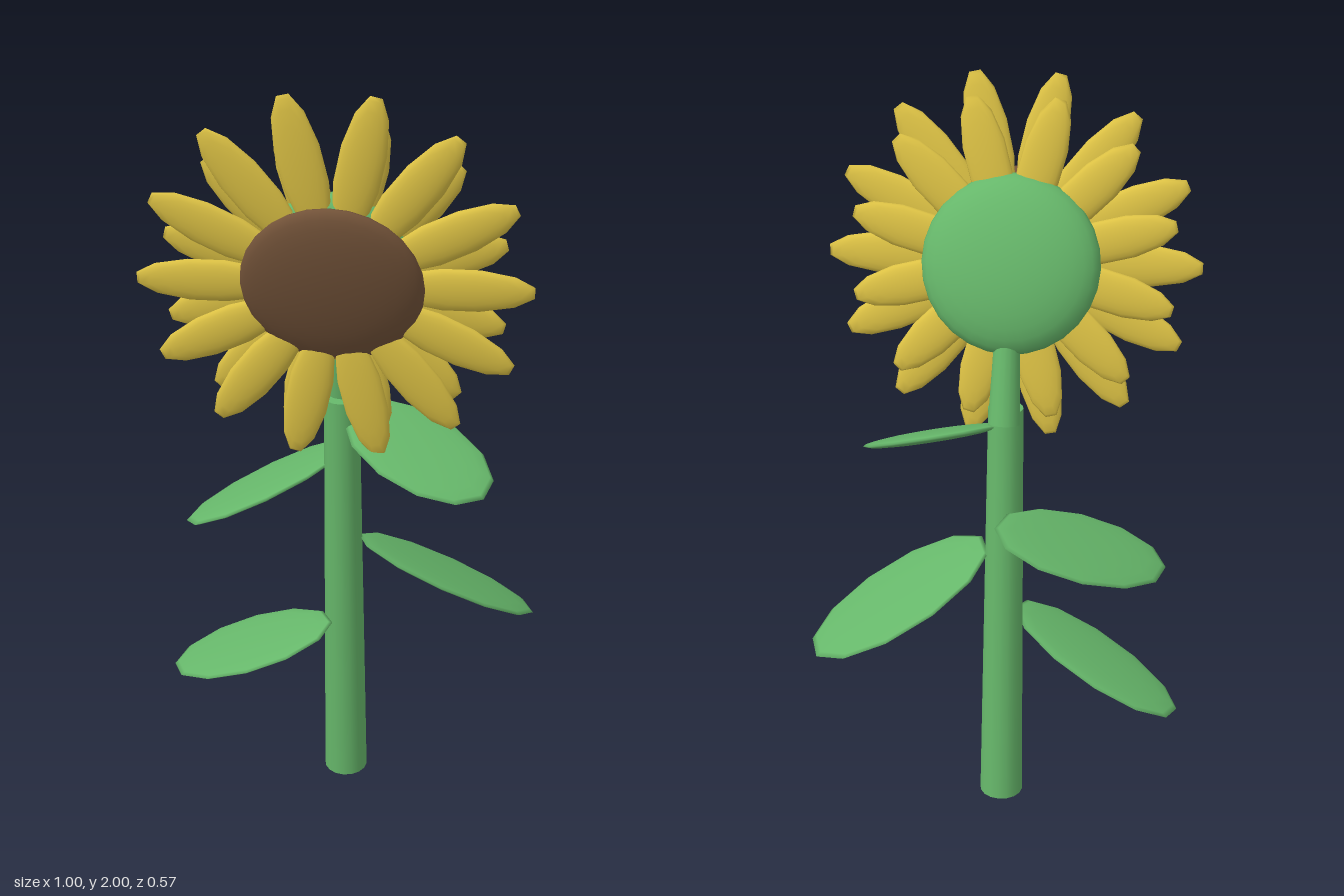
import * as THREE from 'three';

const green = new THREE.MeshStandardMaterial({ name: 'leafGreen', color: 0x66b76a });
const yellow = new THREE.MeshStandardMaterial({ name: 'petalYellow', color: 0xdec345 });
const brown = new THREE.MeshStandardMaterial({ name: 'seedBrown', color: 0x735339 });

const CX = -0.012; // stem and head sit slightly off centre

function addMesh(parent, name, geometry, material) {
  const mesh = new THREE.Mesh(geometry, material);
  mesh.name = name;
  parent.add(mesh);
  return mesh;
}

// Flat twelve-sided lens lying in the xz plane, with blunt ends on x
function lens(length, thickness, width) {
  const k = 1 / Math.cos(Math.PI / 12);
  return new THREE.SphereGeometry(1, 12, 10)
    .rotateY(Math.PI / 12)
    .scale(length * k, thickness, width);
}

// Tapered rod between two points
function rod(parent, name, from, to, r0, r1) {
  const a = new THREE.Vector3(...from);
  const b = new THREE.Vector3(...to);
  const dir = b.clone().sub(a);
  const mesh = addMesh(parent, name, new THREE.CylinderGeometry(r1, r0, dir.length(), 16), green);
  mesh.position.copy(a).add(b).multiplyScalar(0.5);
  mesh.quaternion.setFromUnitVectors(new THREE.Vector3(0, 1, 0), dir.normalize());
}

// Ring of petals around the z axis
function petalRing(parent, name, count, startAngle, tipRadius, halfLength, z) {
  const ring = new THREE.Group();
  ring.name = name;
  ring.position.z = z;
  const geometry = lens(halfLength, 0.019, 0.056)
    .rotateX(Math.PI / 2)
    .translate(tipRadius - halfLength, 0, 0);
  for (let i = 0; i < count; i++) {
    const petal = addMesh(ring, 'petal', geometry, yellow);
    petal.rotation.z = startAngle + (i * 2 * Math.PI) / count;
  }
  parent.add(ring);
}

// Flattened round dome tipped forward
function dome(parent, name, radius, depth, y, z, material) {
  const geometry = new THREE.SphereGeometry(1, 28, 16).rotateX(Math.PI / 2).scale(radius, radius, depth);
  const mesh = addMesh(parent, name, geometry, material);
  mesh.position.set(CX, y, z);
  mesh.rotation.x = THREE.MathUtils.degToRad(19);
}

export function createModel() {
  const flower = new THREE.Group();
  flower.name = 'sunflower';

  // Stem and the neck that bends toward the head
  rod(flower, 'stem', [CX, 0.003, -0.055], [CX, 1.18, 0.025], 0.06, 0.046);
  rod(flower, 'neck', [CX, 1.15, -0.008], [CX, 1.48, 0.075], 0.042, 0.028);

  // Head
  const head = new THREE.Group();
  head.name = 'head';
  flower.add(head);
  dome(head, 'headBack', 0.228, 0.086, 1.54, 0.11, green);
  dome(head, 'seedDisc', 0.222, 0.05, 1.535, 0.2, brown);

  const petals = new THREE.Group();
  petals.name = 'petals';
  petals.position.set(CX, 1.53, 0.175);
  petals.rotation.x = THREE.MathUtils.degToRad(7);
  petalRing(petals, 'frontPetals', 14, 0, 0.48, 0.175, 0);
  petalRing(petals, 'backPetals', 12, Math.PI / 12, 0.425, 0.16, -0.025);
  head.add(petals);

  // Leaves: centre, turn in degrees, half length, half width, slope along x and along z
  const leaves = [
    ['upperLeftLeaf', [0.19, 1.06, 0.07], 18, 0.195, 0.133, -0.25, -0.42],
    ['lowerLeftLeaf', [0.265, 0.635, -0.065], -20.6, 0.238, 0.158, -0.5, 0.25],
    ['upperRightLeaf', [-0.23, 0.86, -0.117], -30.5, 0.229, 0.141, 0.44, 0.05],
    ['lowerRightLeaf', [-0.265, 0.425, 0.02], 21, 0.235, 0.139, 0.5, -0.06],
  ];
  for (const [name, centre, turn, length, width, slopeX, slopeZ] of leaves) {
    const tilt = new THREE.Matrix4().set(
      1, 0, 0, 0,
      slopeX, 1, slopeZ, 0,
      0, 0, 1, 0,
      0, 0, 0, 1,
    );
    const geometry = lens(length, 0.018, width)
      .rotateY(-THREE.MathUtils.degToRad(turn))
      .applyMatrix4(tilt);
    addMesh(flower, name, geometry, green).position.set(...centre);
  }

  return flower;
}
